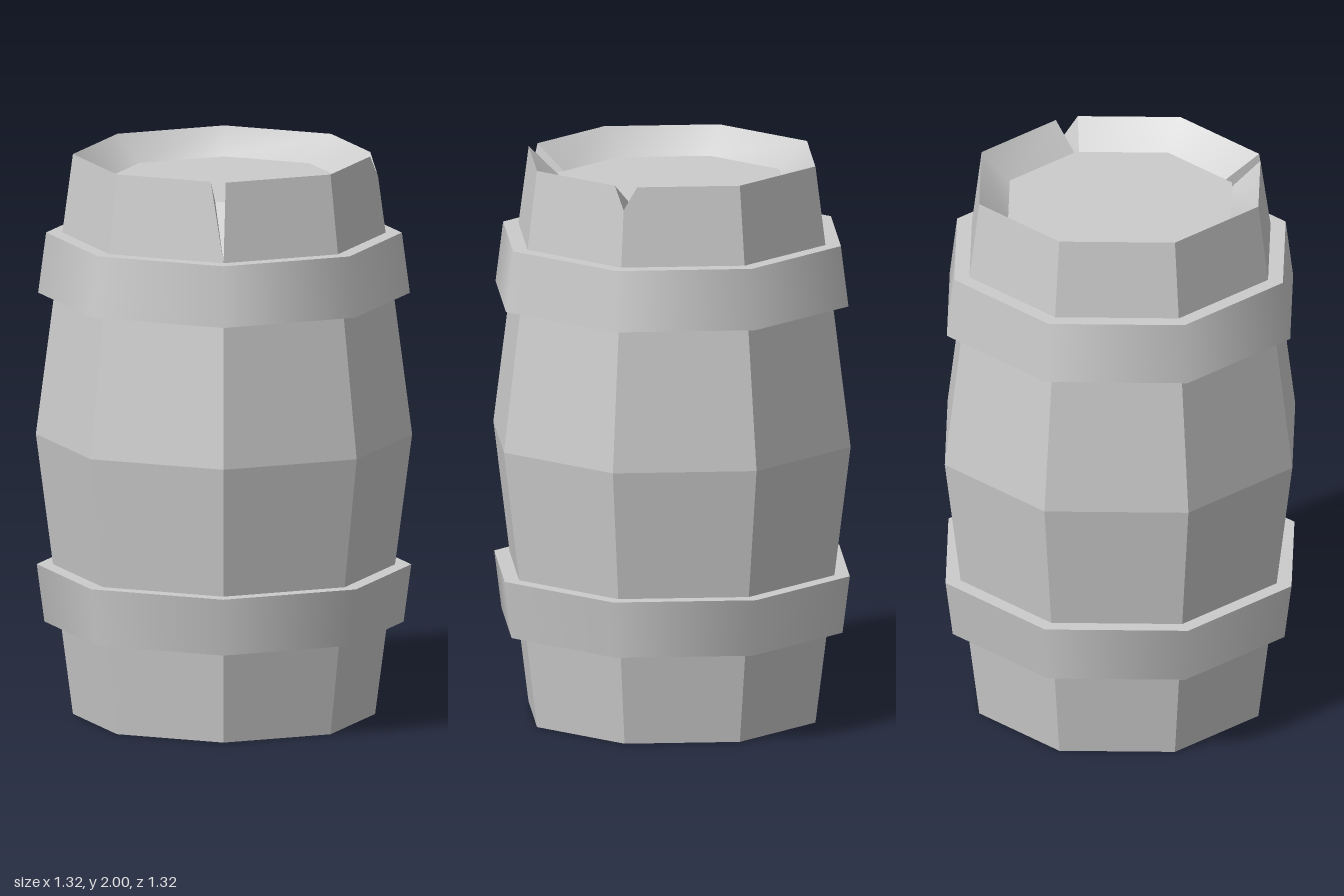
import * as THREE from 'three';
import { mergeVertices } from 'three/addons/utils/BufferGeometryUtils.js';

const SIDES = 8;
const flat = new THREE.MeshStandardMaterial({ color: 0xcccccc, side: THREE.DoubleSide, flatShading: true });
const smooth = new THREE.MeshStandardMaterial({ color: 0xcccccc, side: THREE.DoubleSide });

// point on the octagon at corner k
const corner = (k, r, y) => {
  const a = (k % SIDES) * Math.PI * 2 / SIDES;
  return new THREE.Vector3(r * Math.sin(a), y, r * Math.cos(a));
};

// eight-sided ring surface following [radius, height] points from bottom to top
function ring(name, profile, material) {
  const points = profile.map(([r, y]) => new THREE.Vector2(r, y));
  const mesh = new THREE.Mesh(new THREE.LatheGeometry(points, SIDES), material);
  mesh.name = name;
  return mesh;
}

// surface from convex polygons, each fanned from its first corner
function polygons(name, list, material) {
  const pts = [];
  for (const poly of list) {
    const p = poly.filter((v, i) => i === 0 || v.distanceTo(poly[i - 1]) > 1e-5);
    for (let i = 1; i + 1 < p.length; i++) {
      if (p[i + 1].distanceTo(p[0]) > 1e-5) pts.push(p[0], p[i], p[i + 1]);
    }
  }
  let geometry = new THREE.BufferGeometry().setFromPoints(pts);
  if (material === smooth) geometry = mergeVertices(geometry);
  geometry.computeVertexNormals();
  const mesh = new THREE.Mesh(geometry, material);
  mesh.name = name;
  return mesh;
}

export function createModel() {
  const barrel = new THREE.Group();
  barrel.name = 'barrel';

  // staves, open at the bottom and interrupted by the hoops
  barrel.add(ring('lowerStaves', [[0.53, 0], [0.573, 0.33]], flat));
  barrel.add(ring('middleStaves', [[0.6, 0.535], [0.66, 1], [0.595, 1.505]], flat));

  // hoops: smooth outer band with a flat ledge above and below
  const hoops = [
    ['lowerHoop', [0.573, 0.33], [0.63, 0.33], [0.657, 0.535], [0.6, 0.535]],
    ['upperHoop', [0.595, 1.505], [0.652, 1.505], [0.624, 1.72], [0.567, 1.72]],
  ];
  for (const [name, a, b, c, d] of hoops) {
    const hoop = new THREE.Group();
    hoop.name = name;
    hoop.add(ring('hoopBand', [b, c], smooth));
    hoop.add(ring('hoopUnderside', [a, b], flat));
    hoop.add(ring('hoopLedge', [c, d], flat));
    barrel.add(hoop);
  }

  // top section with two cracked corners: [before, after] gaps as panel fractions
  const low = { r: 0.567, y: 1.72 }, top = { r: 0.53, y: 2 }, lid = { r: 0.422, y: 1.91 };
  const cracks = {
    1: { depth: 1.72, outer: [0.12, 0.02], inner: [0.1, 0.1] },
    3: { depth: 1.92, outer: [0.11, 0.11], inner: [0.03, 0.03] },
  };
  // ring corner k, pulled back along the panel before (0) or after (1) it
  const pulled = (k, ringAt, key, side) => {
    const crack = cracks[k % SIDES];
    const p = corner(k, ringAt.r, ringAt.y);
    return crack ? p.lerp(corner(k + (side ? 1 : SIDES - 1), ringAt.r, ringAt.y), crack[key][side]) : p;
  };
  const apex = (k) => {
    const crack = cracks[k % SIDES];
    const t = crack ? (crack.depth - low.y) / (top.y - low.y) : 0;
    return corner(k, low.r, low.y).lerp(corner(k, top.r, top.y), t);
  };

  const staves = [], rim = [], crackWalls = [], lidFaces = [];
  for (let k = 0; k < SIDES; k++) {
    const a = pulled(k, top, 'outer', 1), b = pulled(k + 1, top, 'outer', 0);
    const c = pulled(k, lid, 'inner', 1), d = pulled(k + 1, lid, 'inner', 0);
    staves.push([corner(k, low.r, low.y), corner(k + 1, low.r, low.y), apex(k + 1), b, a, apex(k)]);
    rim.push([a, b, d, c]);
    lidFaces.push([new THREE.Vector3(0, lid.y, 0), corner(k, lid.r, lid.y), corner(k + 1, lid.r, lid.y)]);
    if (cracks[k]) {
      const before = pulled(k, top, 'outer', 0), inBefore = pulled(k, lid, 'inner', 0);
      crackWalls.push([apex(k), inBefore, before], [apex(k), c, inBefore], [apex(k), a, c]);
    }
  }
  barrel.add(polygons('upperStaves', staves, flat));
  barrel.add(polygons('rim', rim, smooth));
  barrel.add(polygons('crackWalls', crackWalls, flat));
  barrel.add(polygons('lid', lidFaces, flat));

  return barrel;
}
